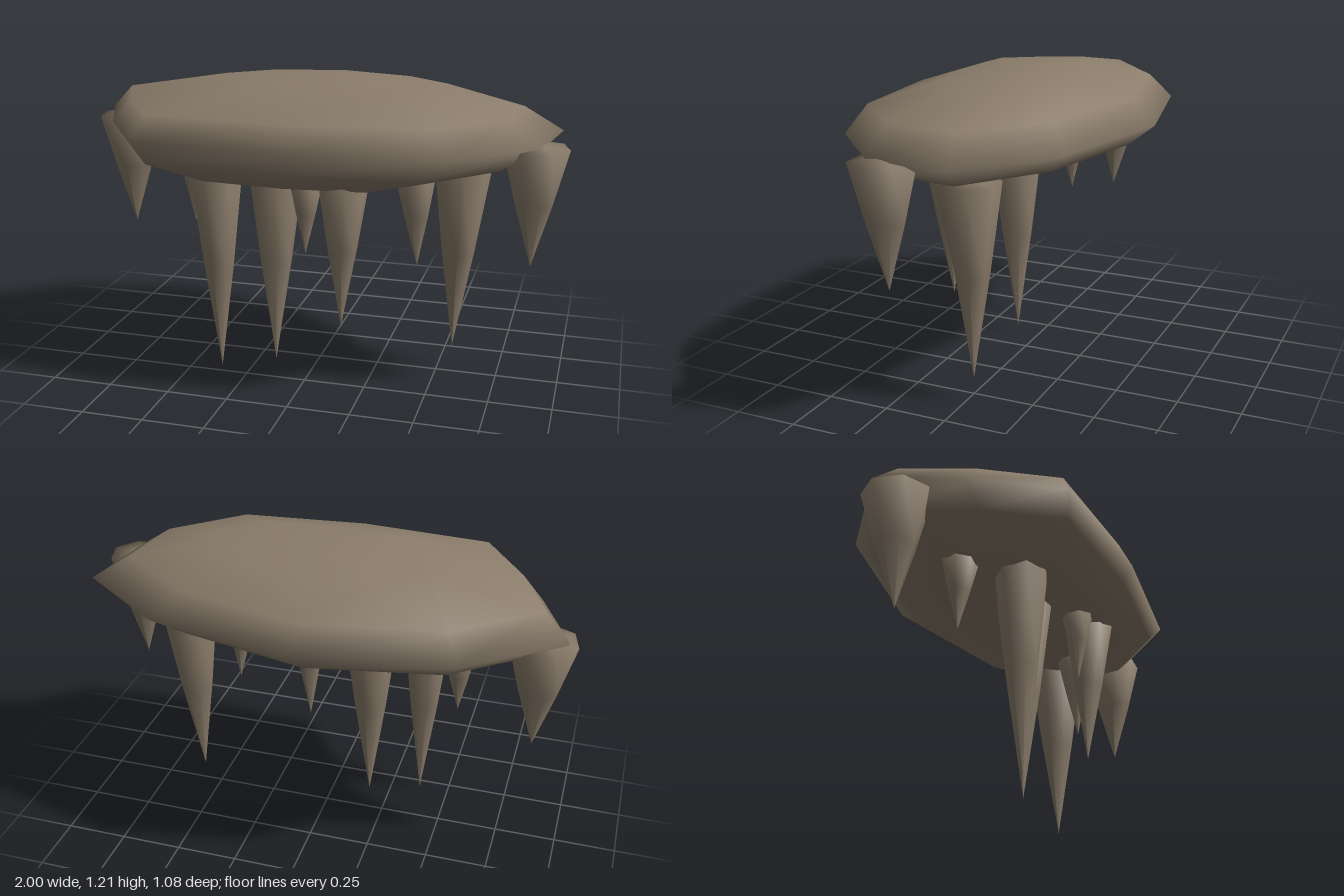
import * as THREE from 'three';

export function createModel() {
  const model = new THREE.Group();
  model.name = 'hangingRock';
  const stone = new THREE.MeshStandardMaterial({ color: 0x8b7d6b });
  stone.name = 'stone';

  // Rock slab: an irregular outline repeated at several heights, closed by two poles
  const outline = [
    [0, 0.535], [0.6, 0.475], [0.9, 0.2], [0.955, -0.14], [0.59, -0.405],
    [0, -0.545], [-0.6, -0.43], [-0.97, -0.14], [-0.83, 0.18], [-0.62, 0.49],
  ];
  const rings = [ // y, scale, x shift, z shift
    [0.83, 0, -0.05, 0.05],
    [0.845, 0.53, -0.05, 0.09],
    [0.928, 0.866, -0.03, 0.04],
    [1.02, 1, 0, 0],
    [1.118, 0.866, -0.025, 0.025],
    [1.195, 0.48, 0.04, -0.01],
    [1.21, 0, 0, 0],
  ];
  const n = outline.length;
  const positions = [];
  const index = [];
  for (const [y, s, dx, dz] of rings) {
    if (s === 0) positions.push(dx, y, dz);
    else for (const [x, z] of outline) positions.push(x * s + dx, y, z * s + dz);
  }
  const top = positions.length / 3 - 1;
  const bands = rings.length - 2;
  for (let i = 0; i < n; i++) {
    const j = (i + 1) % n;
    index.push(0, 1 + j, 1 + i);
    for (let b = 0; b < bands - 1; b++) {
      const lo = 1 + b * n, hi = lo + n;
      index.push(lo + i, lo + j, hi + j, lo + i, hi + j, hi + i);
    }
    const last = 1 + (bands - 1) * n;
    index.push(last + i, last + j, top);
  }
  const slabGeometry = new THREE.BufferGeometry();
  slabGeometry.setAttribute('position', new THREE.Float32BufferAttribute(positions, 3));
  slabGeometry.setIndex(index);
  slabGeometry.computeVertexNormals();
  const slab = new THREE.Mesh(slabGeometry, stone);
  slab.name = 'rockSlab';
  model.add(slab);

  // Stalactites: seven-sided tapering spikes, each leaning from its root to its tip
  const spikes = [ // root x, y, z, radius, tip x, y, z
    [-0.87, 1.01, -0.09, 0.135, -0.865, 0.52, -0.08],
    [-0.54, 0.88, 0.01, 0.075, -0.55, 0.57, 0.01],
    [-0.38, 0.875, 0.2, 0.108, -0.375, 0, 0.2],
    [-0.155, 0.88, 0.11, 0.118, -0.165, 0.015, 0.11],
    [0.02, 0.88, 0.28, 0.068, 0.015, 0.56, 0.28],
    [0.165, 0.888, 0.275, 0.105, 0.155, 0.26, 0.26],
    [0.415, 0.9, 0.12, 0.085, 0.43, 0.495, 0.12],
    [0.58, 0.9, -0.035, 0.12, 0.56, 0.1, -0.03],
    [0.875, 1.028, 0.145, 0.127, 0.875, 0.54, 0.14],
  ];
  spikes.forEach(([x, y, z, r, tx, ty, tz], k) => {
    const length = y - ty;
    const profile = [[0, -length], [0.57 * r, -0.48 * length], [r, -0.015], [0, 0]]
      .map(([px, py]) => new THREE.Vector2(px, py));
    const geometry = new THREE.LatheGeometry(profile, 7, k * 0.4);
    const p = geometry.attributes.position;
    for (let i = 0; i < p.count; i++) {
      const t = -p.getY(i) / length;
      p.setX(i, p.getX(i) + (tx - x) * t);
      p.setZ(i, p.getZ(i) + (tz - z) * t);
    }
    const spike = new THREE.Mesh(geometry, stone);
    spike.name = `stalactite${k + 1}`;
    spike.position.set(x, y, z);
    model.add(spike);
  });
  return model;
}
